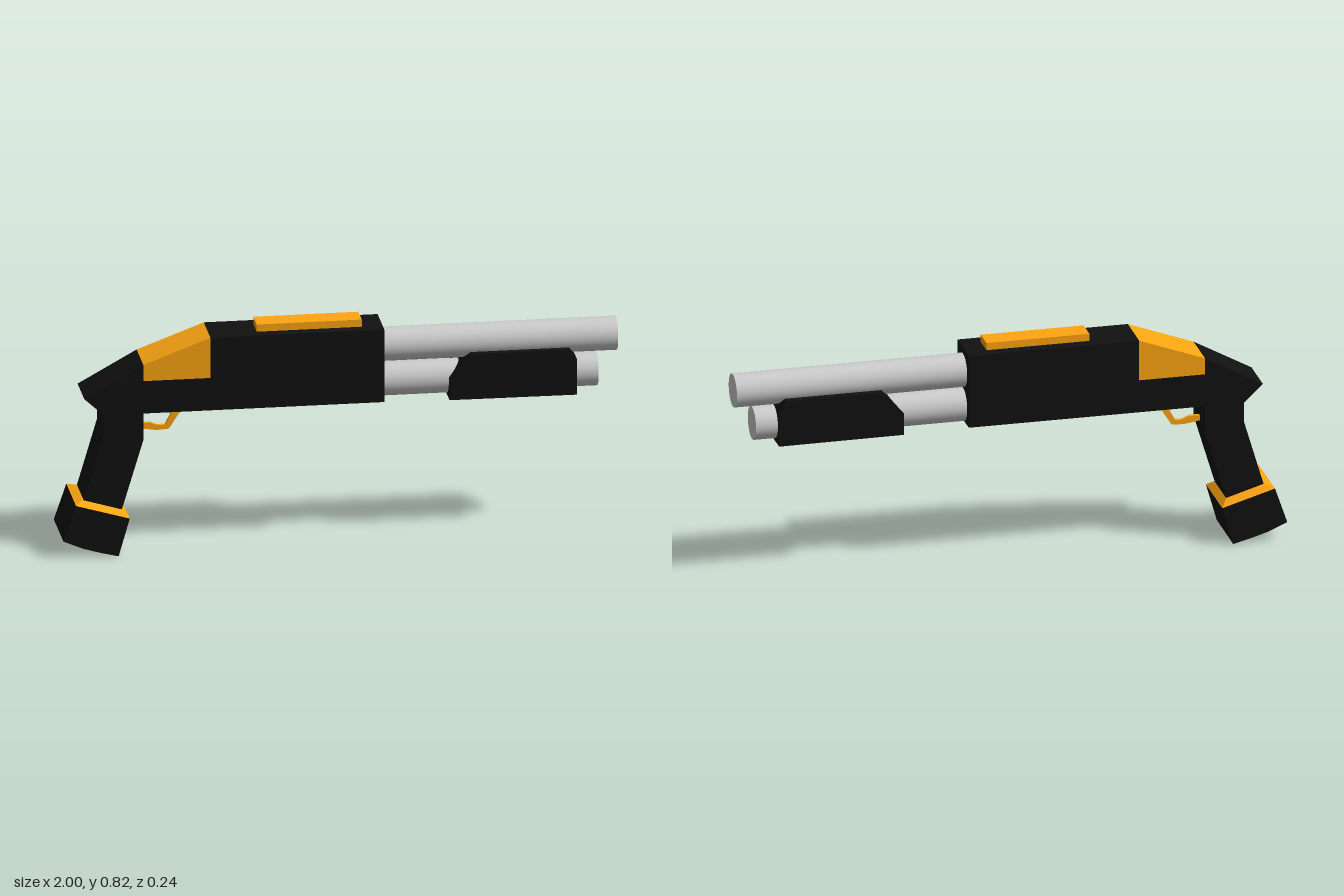
import * as THREE from 'three';

const black = new THREE.MeshStandardMaterial({ color: 0x111111 });
const orange = new THREE.MeshStandardMaterial({ color: 0xffa612 });
const grey = new THREE.MeshStandardMaterial({ color: 0xcccccc });

// Side profile in x, y extruded evenly about z = 0
function slab(name, points, depth, material) {
  const shape = new THREE.Shape(points.map(([x, y]) => new THREE.Vector2(x, y)));
  const geometry = new THREE.ExtrudeGeometry(shape, { depth, bevelEnabled: false });
  geometry.translate(0, 0, -depth / 2);
  const mesh = new THREE.Mesh(geometry, material);
  mesh.name = name;
  return mesh;
}

// Round tube along x
function barrel(name, x0, x1, y) {
  const geometry = new THREE.CylinderGeometry(0.061, 0.061, x1 - x0, 48);
  geometry.rotateZ(-Math.PI / 2);
  const mesh = new THREE.Mesh(geometry, grey);
  mesh.name = name;
  mesh.position.set((x0 + x1) / 2, y, 0);
  return mesh;
}

// Sloped collar: a box whose top ring is pulled in to the grip
function collar(bottom, top, zBottom, zTop) {
  const geometry = new THREE.BoxGeometry(1, 1, 1).toNonIndexed();
  const p = geometry.attributes.position;
  for (let i = 0; i < p.count; i++) {
    const upper = p.getY(i) > 0;
    const [x, y] = (upper ? top : bottom)[p.getX(i) > 0 ? 1 : 0];
    p.setXYZ(i, x, y, Math.sign(p.getZ(i)) * (upper ? zTop : zBottom));
  }
  geometry.computeVertexNormals();
  const mesh = new THREE.Mesh(geometry, orange);
  mesh.name = 'buttCollar';
  return mesh;
}

export function createModel() {
  const model = new THREE.Group();
  model.name = 'shotgun';
  const width = 0.168;

  // Receiver with its rear spur
  model.add(slab('receiver', [
    [0.157, 0.52], [0.157, 0.793], [-0.467, 0.793], [-0.467, 0.642], [-0.708, 0.642],
    [-0.708, 0.703], [-0.92, 0.585], [-0.85, 0.52],
  ], width, black));
  model.add(slab('rearPanel', [
    [-0.708, 0.642], [-0.467, 0.642], [-0.467, 0.793], [-0.708, 0.703],
  ], width, orange));
  model.add(slab('topRail', [
    [-0.295, 0.79], [0.082, 0.79], [0.082, 0.82], [-0.295, 0.82],
  ], 0.085, orange));

  // Grip and flared butt
  model.add(slab('grip', [
    [-0.85, 0.52], [-0.85, 0.45], [-0.925, 0.195], [-0.925, 0.15], [-0.79, 0.12],
    [-0.785, 0.163], [-0.708, 0.42], [-0.708, 0.52],
  ], width, black));
  model.add(slab('butt', [
    [-0.955, 0.197], [-1, 0.065], [-0.93, 0.035], [-0.87, 0.017], [-0.802, 0], [-0.762, 0.14],
  ], 0.242, black));
  model.add(collar(
    [[-0.955, 0.197], [-0.762, 0.14]], [[-0.925, 0.205], [-0.785, 0.163]], 0.121, 0.084));

  // Barrel, magazine tube and sliding fore-end
  model.add(barrel('barrel', 0.15, 1, 0.71));
  model.add(barrel('magazineTube', 0.15, 0.93, 0.58));
  model.add(slab('foreEnd', [
    [0.392, 0.513], [0.85, 0.511], [0.85, 0.643], [0.825, 0.682], [0.47, 0.682], [0.392, 0.592],
  ], 0.156, black));

  // Thin bent trigger guard
  model.add(slab('triggerGuard', [
    [-0.58, 0.52], [-0.618, 0.447], [-0.645, 0.446], [-0.672, 0.457], [-0.708, 0.457],
    [-0.708, 0.437], [-0.65, 0.428], [-0.605, 0.431], [-0.548, 0.52],
  ], 0.013, orange));

  return model;
}
